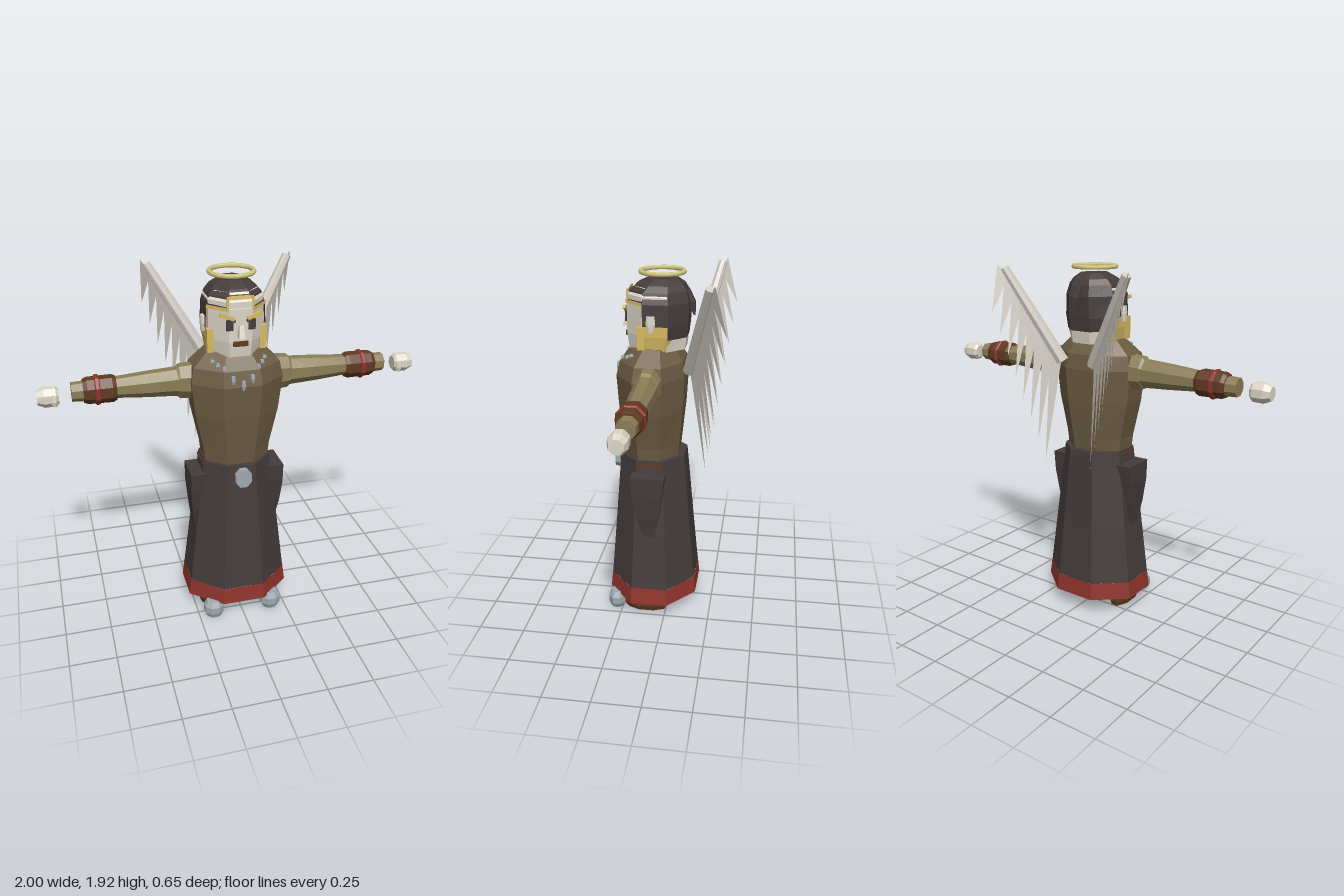
import * as THREE from 'three';

const mat = (name, color, extra = {}) => {
  const m = new THREE.MeshStandardMaterial({ color, ...extra });
  m.name = name;
  return m;
};

// Faceted loft around y. Rings are [y, halfX, halfZ, centreZ, centreX];
// side 0 faces +z and sides run towards +x. `pick` keeps only some sides.
function loft(rings, { sides = 8, pick = null, caps = true } = {}) {
  const pos = [];
  const k = 1 / Math.cos(Math.PI / sides);
  const pt = ([y, rx, rz = rx, cz = 0, cx = 0], i) => {
    const a = ((i - 0.5) / sides) * Math.PI * 2;
    return [cx + Math.sin(a) * rx * k, y, cz + Math.cos(a) * rz * k];
  };
  const mid = ([y, , , cz = 0, cx = 0]) => [cx, y, cz];
  const first = rings[0], last = rings[rings.length - 1];
  for (let i = 0; i < sides; i++) {
    if (pick && !pick.includes(i)) continue;
    for (let r = 0; r < rings.length - 1; r++) {
      const a = pt(rings[r], i), b = pt(rings[r], i + 1);
      const c = pt(rings[r + 1], i + 1), d = pt(rings[r + 1], i);
      pos.push(...a, ...b, ...c, ...a, ...c, ...d);
    }
    if (caps === true || caps === 'top') pos.push(...mid(last), ...pt(last, i), ...pt(last, i + 1));
    if (caps === true) pos.push(...mid(first), ...pt(first, i + 1), ...pt(first, i));
  }
  const g = new THREE.BufferGeometry();
  g.setAttribute('position', new THREE.Float32BufferAttribute(pos, 3));
  g.computeVertexNormals();
  return g;
}

export function createModel() {
  const D = { side: THREE.DoubleSide };
  const skin = mat('paleSkin', 0xddd6c8);
  const dark = mat('darkCloth', 0x453b3b, D);
  const tunic = mat('brownTunic', 0x6b5b42);
  const sleeve = mat('oliveSleeve', 0x8a7d57);
  const leather = mat('leather', 0x5f3a22);
  const red = mat('redTrim', 0x8f342c, D);
  const gold = mat('gold', 0xd6b95f, D);
  const silver = mat('silver', 0x9fa9b2);
  const wing = mat('wingWhite', 0xcfc9bf, D);
  const haloGold = mat('haloGold', 0xd6cb86);

  const model = new THREE.Group();
  model.name = 'wingedRobedFigure';
  const add = (name, geo, material, x = 0, y = 0, z = 0, rz = 0) => {
    const m = new THREE.Mesh(geo, material);
    m.name = name;
    m.position.set(x, y, z);
    m.rotation.z = rz;
    model.add(m);
    return m;
  };
  const box = (name, w, h, d, material, x, y, z, rz = 0) =>
    add(name, new THREE.BoxGeometry(w, h, d), material, x, y, z, rz);

  // Robe skirt, open underneath, with red hem
  add('skirt', loft([[0.185, 0.272, 0.236, 0.083], [0.5, 0.234, 0.209, 0.084], [0.93, 0.18, 0.174, 0.085]],
    { caps: 'top' }), dark);
  add('hem', loft([[0.09, 0.285, 0.246, 0.083], [0.185, 0.273, 0.237, 0.083]], { caps: false }), red);

  // Torso
  add('torso', loft([[0.9, 0.17, 0.14, 0.09], [1.0, 0.18, 0.15, 0.09], [1.2, 0.222, 0.17, 0.09],
    [1.38, 0.242, 0.18, 0.09], [1.46, 0.225, 0.165, 0.085], [1.535, 0.145, 0.105, 0.075]]), tunic);

  // Belt buckle
  const buckle = loft([[-0.014, 0.043, 0.052], [0.014, 0.043, 0.052]]);
  buckle.rotateX(Math.PI / 2);
  add('beltBuckle', buckle, silver, 0, 0.873, 0.288);

  // Necklace of small charms
  for (const [x, y, z, h] of [[0, 1.39, 0.275, 0.05], [0.05, 1.42, 0.264, 0.042],
    [0.088, 1.468, 0.235, 0.03], [0.115, 1.48, 0.205, 0.026], [0.135, 1.495, 0.18, 0.02]]) {
    for (const s of x ? [1, -1] : [1]) {
      add('necklaceCharm', loft([[-h / 2, 0.005], [0, 0.01], [h / 2, 0.008]], { sides: 4 }), silver, s * x, y, z);
    }
  }

  // Head and hair, with the hairline stepping up over the forehead
  const H = 0.055;
  add('head', loft([[1.52, 0.13, 0.145, 0.06], [1.6, 0.142, 0.155, 0.06], [1.8, 0.142, 0.155, 0.06],
    [1.84, 0.11, 0.12, 0.06]]), skin);
  add('hairCrown', loft([[1.82, 0.133, 0.146, H], [1.85, 0.108, 0.12, 0.045], [1.878, 0.065, 0.075, 0.035]],
    { caps: 'top' }), dark);
  add('hairFringe', loft([[1.765, 0.15, 0.161, H], [1.82, 0.133, 0.146, H]],
    { pick: [1, 2, 3, 4, 5, 6, 7], caps: false }), dark);
  add('foreheadTop', loft([[1.765, 0.14, 0.158, 0.058], [1.82, 0.13, 0.15, H]], { pick: [0], caps: false }), skin);
  add('hairSides', loft([[1.655, 0.155, 0.158, H], [1.765, 0.15, 0.161, H]],
    { pick: [2, 3, 4, 5, 6], caps: false }), dark);
  add('hairBack', loft([[1.585, 0.145, 0.15, H], [1.655, 0.155, 0.158, H]], { pick: [3, 4, 5], caps: false }), dark);
  add('hairTuft', loft([[1.69, 0.01, 0.004, -0.128], [1.76, 0.016, 0.022, -0.11], [1.825, 0.012, 0.015, -0.085]],
    { sides: 4 }), dark);

  // Gold hairline trim, neck band and sideburns
  add('foreheadTrim', loft([[1.812, 0.14, 0.153, H], [1.83, 0.135, 0.15, H]], { pick: [0], caps: false }), gold);
  add('templeTrim', loft([[1.757, 0.153, 0.165, H], [1.774, 0.151, 0.164, H]], { pick: [1, 7], caps: false }), gold);
  add('neckBand', loft([[1.525, 0.138, 0.12, 0.06], [1.6, 0.15, 0.14, H], [1.66, 0.151, 0.15, H]],
    { pick: [2, 3, 4, 5, 6], caps: false }), gold);
  for (const s of [1, -1]) {
    box('trimStep', 0.012, 0.068, 0.01, gold, s * 0.062, 1.793, 0.21);
    box('sideburn', 0.034, 0.12, 0.04, gold, s * 0.136, 1.592, 0.128);
    add('ear', loft([[-0.04, 0.012, 0.015], [0, 0.014, 0.024], [0.04, 0.012, 0.02]]), skin, s * 0.158, 1.67, 0.077);
    // Eyes and slanted brows
    box('eye', 0.036, 0.052, 0.008, dark, s * 0.056, 1.688, 0.218);
    box('brow', 0.078, 0.017, 0.016, gold, s * 0.07, 1.732, 0.22, s * 0.36);
    box('browShadow', 0.04, 0.012, 0.014, dark, s * 0.048, 1.714, 0.22, s * 0.36);
  }
  add('nose', loft([[1.625, 0.016, 0.02, 0.228], [1.685, 0.011, 0.009, 0.22]], { sides: 4 }), skin);
  box('mouth', 0.075, 0.024, 0.02, leather, 0, 1.592, 0.217);

  // Halo
  const ring = new THREE.TorusGeometry(0.113, 0.012, 6, 16);
  ring.rotateX(Math.PI / 2);
  add('halo', ring, haloGold, 0, 1.909, 0.038);

  for (const s of [1, -1]) {
    // Arm parts run outward along x
    const limb = (name, rings, material, y = 1.37, z = 0.078) =>
      add(name, loft(rings), material, 0, y, z, -s * Math.PI / 2);
    limb('shoulder', [[0.16, 0.08, 0.07], [0.23, 0.09, 0.068], [0.29, 0.085, 0.062], [0.31, 0.068, 0.056]], sleeve);
    limb('arm', [[0.28, 0.073, 0.06], [0.45, 0.063, 0.058], [0.62, 0.05, 0.05]], sleeve);
    limb('cuff', [[0.61, 0.057], [0.63, 0.065], [0.755, 0.063], [0.775, 0.055]], leather, 1.367);
    limb('cuffBand', [[0.692, 0.066], [0.697, 0.071], [0.713, 0.071], [0.718, 0.066]], red, 1.367);
    limb('wrist', [[0.77, 0.048], [0.832, 0.045]], sleeve, 1.367);
    limb('hand', [[0.895, 0.034], [0.908, 0.047, 0.043], [0.965, 0.049, 0.045], [1.0, 0.034]], skin, 1.357, 0.085);
    add('thumb', loft([[-0.025, 0.012], [0, 0.018], [0.025, 0.015]]), skin, s * 0.918, 1.345, 0.124);

    // Hanging side pouch and belt loop
    add('pouch', loft([[0.5, 0.01, 0.03, 0.085, s * 0.226], [0.62, 0.03, 0.062, 0.092, s * 0.218],
      [0.75, 0.04, 0.082, 0.092, s * 0.218], [0.86, 0.045, 0.092, 0.09, s * 0.212]], { sides: 4 }), dark);
    box('beltLoop', 0.02, 0.016, 0.14, leather, s * 0.177, 0.905, 0.083);

    // Boots with metal toe caps
    add('boot', loft([[0, 0.045, 0.105, 0.11], [0.03, 0.055, 0.12, 0.115], [0.075, 0.055, 0.12, 0.115],
      [0.11, 0.04, 0.1, 0.115]]), leather, s * 0.166);
    add('toeCap', loft([[0, 0.04, 0.036, 0.283], [0.03, 0.055, 0.047, 0.283], [0.07, 0.055, 0.047, 0.283],
      [0.1, 0.038, 0.034, 0.28]]), silver, s * 0.166);

    // Wing bone
    const a = new THREE.Vector3(s * 0.1, 1.42, -0.115), b = new THREE.Vector3(s * 0.38, 1.9, -0.24);
    const dir = b.clone().sub(a);
    const bone = add('wingBone', loft([[0, 0.032], [0.3, 0.028], [dir.length(), 0.022]]), wing, a.x, a.y, a.z);
    dir.normalize();
    bone.quaternion.setFromUnitVectors(new THREE.Vector3(0, 1, 0), dir);

    // Feathers, longest nearest the body
    const pos = [];
    const count = 8;
    for (let i = 0; i < count; i++) {
      const t = 0.1 + (0.9 * i) / (count - 1);
      const root = a.clone().lerp(b, t);
      const tip = root.clone().add(new THREE.Vector3(s * 0.022, -0.63 + 0.4 * t, -0.085));
      const p = root.clone().addScaledVector(dir, -0.045);
      const q = root.clone().addScaledVector(dir, 0.02).add(new THREE.Vector3(s * 0.018, 0, -0.02));
      for (const v of [p, tip, q]) pos.push(v.x, v.y, v.z);
    }
    const feathers = new THREE.BufferGeometry();
    feathers.setAttribute('position', new THREE.Float32BufferAttribute(pos, 3));
    feathers.computeVertexNormals();
    add('wingFeathers', feathers, wing);
  }
  return model;
}
